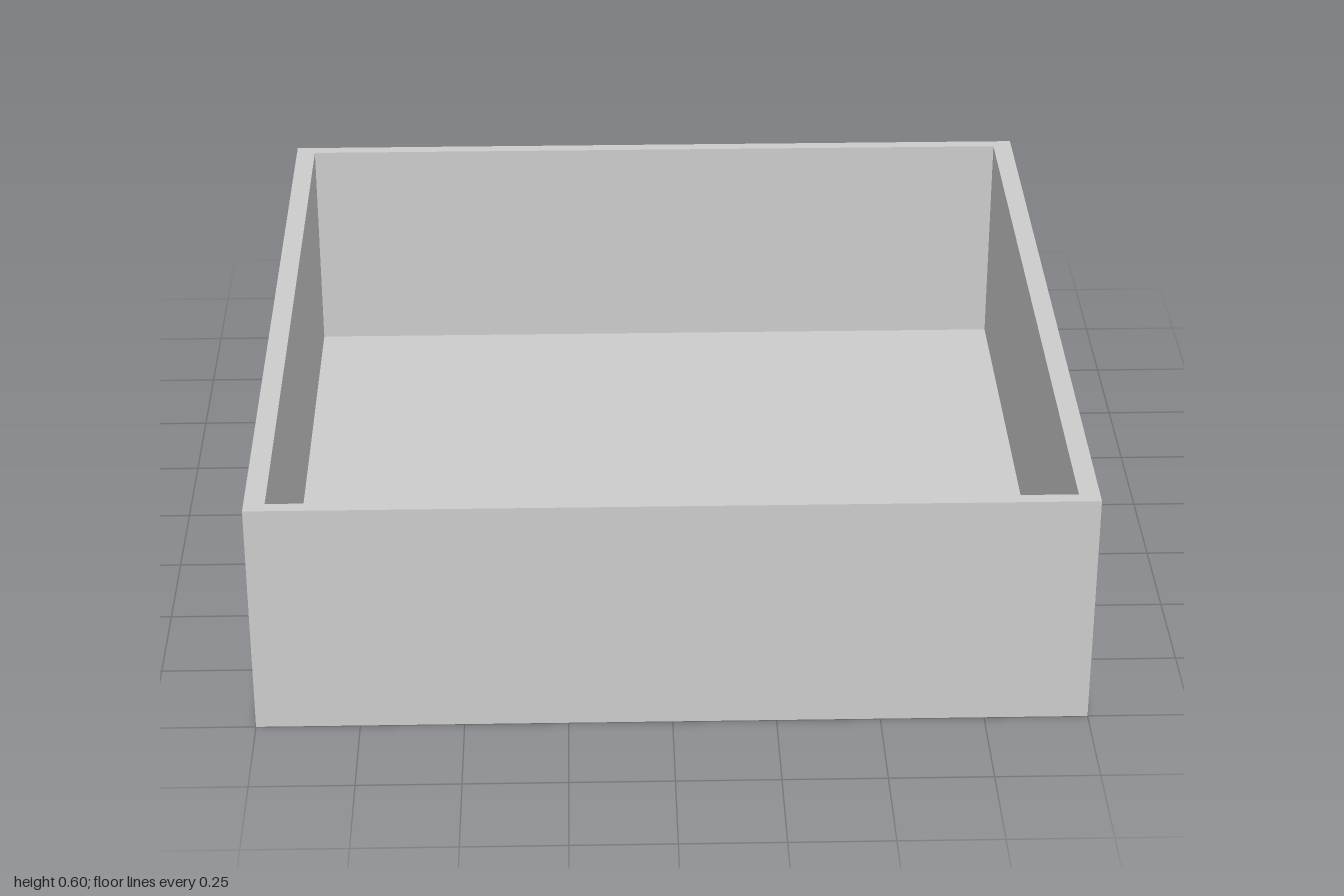
import * as THREE from 'three';

const WIDTH = 2, DEPTH = 2, HEIGHT = 0.6;
const SIDE_WALL = 0.05, END_WALL = 0.033, FLOOR = 0.02;

// Corner points of a centred rectangle
function rectangle(w, d) {
  return [[-1, -1], [1, -1], [1, 1], [-1, 1]].map(
    ([x, y]) => new THREE.Vector2(x * w / 2, y * d / 2));
}

export function createModel() {
  const group = new THREE.Group();
  group.name = 'openTray';
  const material = new THREE.MeshStandardMaterial({ color: 0xcccccc });

  const innerWidth = WIDTH - 2 * SIDE_WALL;
  const innerDepth = DEPTH - 2 * END_WALL;

  // Four walls as one upright frame
  const frame = new THREE.Shape(rectangle(WIDTH, DEPTH));
  frame.holes.push(new THREE.Path(rectangle(innerWidth, innerDepth)));
  const wallGeometry = new THREE.ExtrudeGeometry(frame, { depth: HEIGHT, bevelEnabled: false });
  wallGeometry.rotateX(-Math.PI / 2);
  const walls = new THREE.Mesh(wallGeometry, material);
  walls.name = 'walls';
  group.add(walls);

  // Thin floor set between the walls
  const floor = new THREE.Mesh(new THREE.BoxGeometry(innerWidth, FLOOR, innerDepth), material);
  floor.name = 'floor';
  floor.position.y = FLOOR / 2;
  group.add(floor);

  return group;
}
